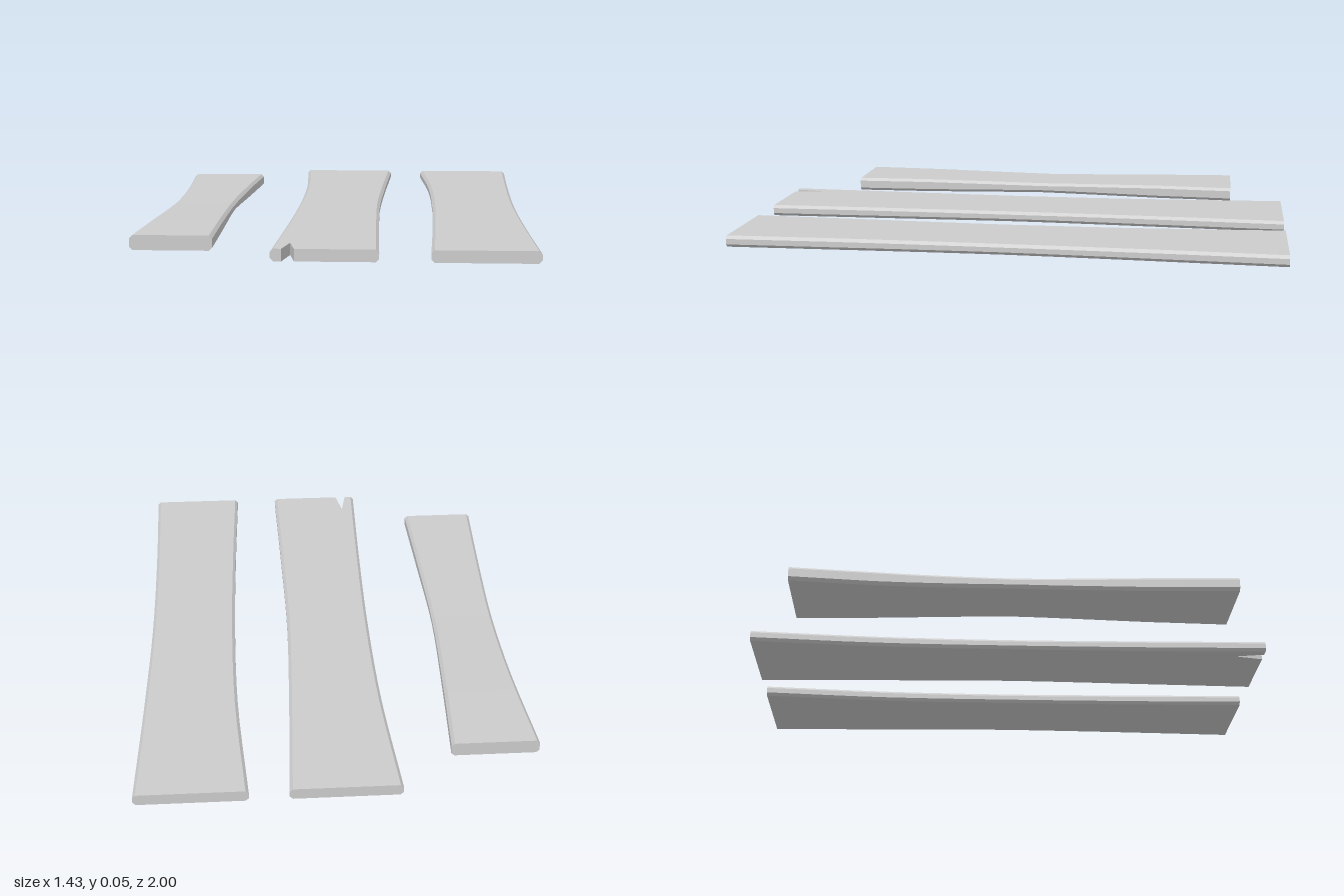
import * as THREE from 'three';

const MID_Y = 0.0275;

// Loft through octagonal sections {z, l, r, h, cl, cr}: side edges, half thickness, left and right chamfers
function loft(sections) {
  const rings = sections.map(({ z, l, r, h, cl, cr }) => [
    [l + cl, -h], [r - cr, -h], [r, -h + cr], [r, h - cr],
    [r - cr, h], [l + cl, h], [l, h - cl], [l, -h + cl],
  ].map(([x, y]) => [x, MID_Y + y, z]));
  const pos = [];
  const tri = (a, b, c) => pos.push(...a, ...b, ...c);
  for (let i = 0; i < rings.length - 1; i++) {
    const a = rings[i], b = rings[i + 1];
    for (let j = 0; j < 8; j++) {
      const k = (j + 1) % 8;
      tri(a[j], a[k], b[k]);
      tri(a[j], b[k], b[j]);
    }
  }
  // End caps
  const first = rings[0], last = rings[rings.length - 1];
  for (let j = 1; j < 7; j++) {
    tri(first[0], first[j + 1], first[j]);
    tri(last[0], last[j], last[j + 1]);
  }
  const geo = new THREE.BufferGeometry();
  geo.setAttribute('position', new THREE.Float32BufferAttribute(pos, 3));
  geo.computeVertexNormals();
  return geo;
}

// Waisted plank; edges holds [left x, right x] at five even stations from back to front
function makePlank({ name, half, edges, endH, midH, notch }, material) {
  const group = new THREE.Group();
  group.name = name;
  const curve = new THREE.CatmullRomCurve3(
    edges.map(([l, r], i) => new THREE.Vector3(l, r, half * (i / 2 - 1))), false, 'catmullrom');
  const chamfer = 0.011;
  const section = (z) => {
    const p = curve.getPoint((z + half) / (2 * half));
    const h = midH + (endH - midH) * Math.min(1, Math.abs(z) / half * 1.6);
    return { z, l: p.x, r: p.y, h, cl: chamfer, cr: chamfer };
  };
  const add = (part, sections) => {
    const mesh = new THREE.Mesh(loft(sections), material);
    mesh.name = part;
    group.add(mesh);
  };

  const end = notch ? notch.z : half;
  const steps = 16;
  add('board', Array.from({ length: steps + 1 }, (_, i) => section(-half + (end + half) * i / steps)));

  // Two prongs on either side of the V-shaped split
  if (notch) {
    const a = section(notch.z), b = section(half);
    add('rightProng', [{ ...a, r: notch.x, cr: 0 }, { ...b, r: notch.left, cr: 0 }]);
    add('leftProng', [{ ...a, l: notch.x, cl: 0 }, { ...b, l: notch.right, cl: 0 }]);
  }
  return group;
}

export function createModel() {
  const model = new THREE.Group();
  model.name = 'planks';
  const material = new THREE.MeshStandardMaterial({ color: 0xcccccc, flatShading: true });
  const planks = [
    {
      name: 'shortPlank', half: 0.8, endH: 0.0265, midH: 0.02,
      edges: [[-0.715, -0.4], [-0.683, -0.418], [-0.672, -0.43], [-0.68, -0.42], [-0.695, -0.407]],
    },
    {
      name: 'splitPlank', half: 1, endH: 0.021, midH: 0.0195,
      edges: [[-0.21, 0.18], [-0.178, 0.163], [-0.17, 0.152], [-0.176, 0.16], [-0.188, 0.172]],
      notch: { x: -0.13, z: 0.89, left: -0.15, right: -0.108 },
    },
    {
      name: 'longPlank', half: 1, endH: 0.021, midH: 0.0195,
      edges: [[0.318, 0.712], [0.352, 0.695], [0.36, 0.685], [0.354, 0.69], [0.342, 0.704]],
    },
  ];
  planks.forEach((p) => model.add(makePlank(p, material)));
  return model;
}
